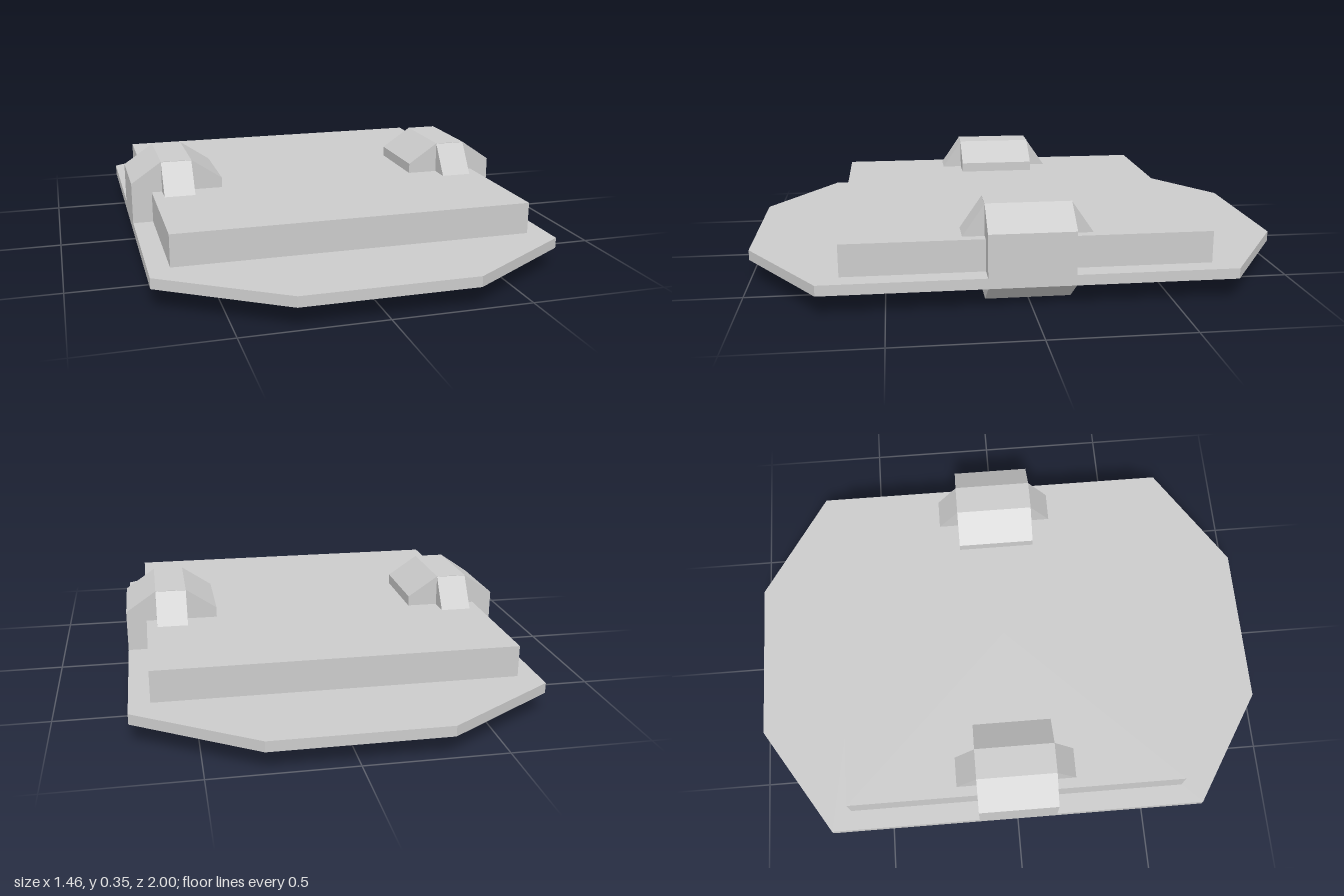
import * as THREE from 'three';

const material = new THREE.MeshStandardMaterial({ color: 0xcccccc, flatShading: true });

function addMesh(parent, name, geometry) {
  const mesh = new THREE.Mesh(geometry, material);
  mesh.name = name;
  parent.add(mesh);
  return mesh;
}

const toVectors = (points) => points.map(([x, y]) => new THREE.Vector2(x, y));

// Square solid swept from a half-width / height profile (bottom to top on the outside)
function squareLathe(profile) {
  const points = profile.map(([half, y]) => new THREE.Vector2(half * Math.SQRT2, y));
  return new THREE.LatheGeometry(points, 4, Math.PI / 4);
}

// Prism centred on z = 0 from an outline in x and y
function prism(outline, depth) {
  const shape = new THREE.Shape(toVectors(outline));
  return new THREE.ExtrudeGeometry(shape, { depth, bevelEnabled: false }).translate(0, 0, -depth / 2);
}

// Clip wrapping round one side edge, side = 1 or -1
function createClip(side) {
  const clip = new THREE.Group();
  clip.name = side > 0 ? 'leftClip' : 'rightClip';
  const outline = [
    [0.19, 0.08], [0.31, 0], [0.615, 0], [0.729, 0.077], [0.729, 0.269], [0.615, 0.347],
    [0.5, 0.347], [0.385, 0.269], [0.385, 0.225], [0.6, 0.225], [0.6, 0.117], [0.19, 0.117],
  ];
  addMesh(clip, 'clipBody', prism(outline, 0.305));

  // Sloped ribs before and behind the clip
  const rib = [[-0.232, 0.23], [0.232, 0.23], [0.152, 0.346], [-0.152, 0.346]];
  addMesh(clip, 'clipRibs', prism(rib, 0.115).rotateY(Math.PI / 2).translate(0.5575, 0, 0));

  // The clip is symmetric front to back, so half a turn mirrors it
  if (side < 0) clip.rotation.y = Math.PI;
  return clip;
}

export function createModel() {
  const model = new THREE.Group();
  model.name = 'clippedPlate';

  // Thin eight-sided plate, open in the middle
  const plate = new THREE.Shape(toVectors([
    [-0.31, -1], [0.31, -1], [0.729, -0.73], [0.729, 0.73],
    [0.31, 1], [-0.31, 1], [-0.729, 0.73], [-0.729, -0.73],
  ]));
  const h = 0.54;
  plate.holes.push(new THREE.Path(toVectors([[-h, -h], [-h, h], [h, h], [h, -h]])));
  const plateGeometry = new THREE.ExtrudeGeometry(plate, { depth: 0.038, bevelEnabled: false });
  addMesh(model, 'basePlate', plateGeometry.rotateX(-Math.PI / 2).translate(0, 0.077, 0));

  // Raised square slab on top
  addMesh(model, 'upperSlab', squareLathe([[0.654, 0.114], [0.654, 0.231], [0, 0.231]]));

  // Bevelled rim underneath, around a square recess with tapering walls
  addMesh(model, 'undersideRim', squareLathe([
    [0, 0.116], [0.5, 0.116], [h, 0.039], [0.58, 0.039], [0.729, 0.077],
  ]));

  for (const side of [1, -1]) model.add(createClip(side));
  return model;
}
